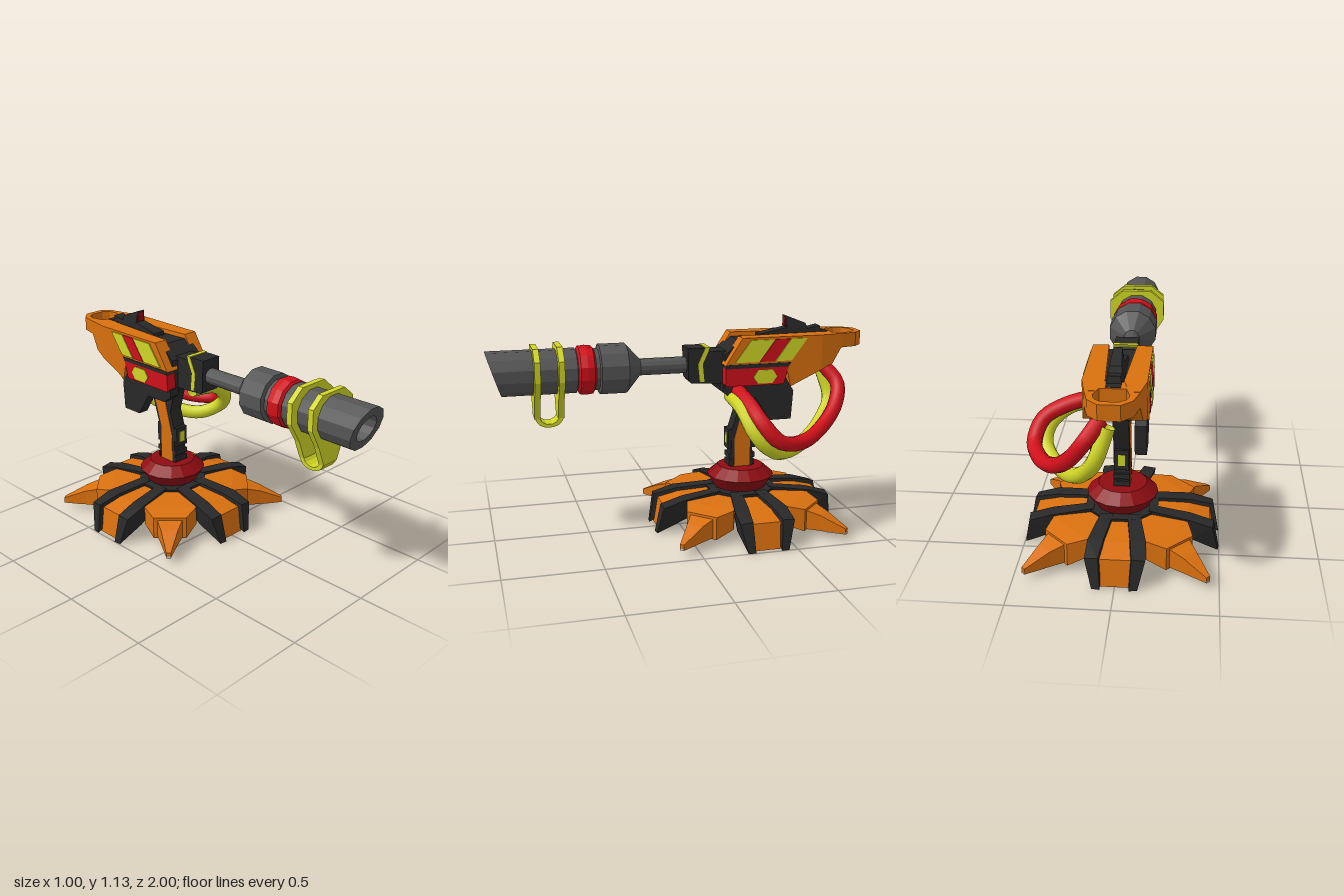
import * as THREE from 'three';

const mat = (color) => new THREE.MeshStandardMaterial({ color, flatShading: true, side: THREE.DoubleSide });
const orange = mat(0xd9700f), black = mat(0x282828), red = mat(0xd0101a), darkRed = mat(0x8e0c12);
const yellow = mat(0xd0d626), steel = mat(0x555555), pale = mat(0xcccccc);
const CZ = -0.345; // z of the base centre

export function createModel() {
  const model = new THREE.Group();
  const add = (name, geo, material, parent = model) => {
    const m = new THREE.Mesh(geo, material);
    m.name = name;
    parent.add(m);
    return m;
  };
  const shapeOf = (pts) => new THREE.Shape(pts.map(([a, b]) => new THREE.Vector2(a, b)));
  // Move the vertices of a mesh by a rule
  const bend = (mesh, rule) => {
    const p = mesh.geometry.attributes.position;
    for (let i = 0; i < p.count; i++) p.setXYZ(i, ...rule(p.getX(i), p.getY(i), p.getZ(i)));
    mesh.geometry.computeVertexNormals();
  };

  // Side outline [z, y] extruded from x0 to x1
  const slab = (name, pts, x0, x1, material) => {
    const g = new THREE.ExtrudeGeometry(shapeOf(pts), { depth: x1 - x0, bevelEnabled: false });
    g.rotateY(-Math.PI / 2).translate(x1, 0, 0);
    return add(name, g, material);
  };
  const pair = (name, pts, x0, x1, material) => [
    slab(name + 'Left', pts, x0, x1, material),
    slab(name + 'Right', pts, -x1, -x0, material),
  ];
  const box = (name, w, h, d, x, y, z, material) =>
    add(name, new THREE.BoxGeometry(w, h, d).translate(x, y, z), material);

  // Solid through four-cornered sections, each corner [x, y, z]
  const loft = (sections) => {
    const tris = [];
    const quad = (a, b, c, d) => tris.push([a, b, c], [a, c, d]);
    for (let i = 0; i + 1 < sections.length; i++)
      for (let k = 0; k < 4; k++) {
        const n = (k + 1) % 4;
        quad(sections[i][k], sections[i][n], sections[i + 1][n], sections[i + 1][k]);
      }
    const [first, last] = [sections[0], sections[sections.length - 1]];
    quad(first[3], first[2], first[1], first[0]);
    quad(...last);
    const v = (p) => new THREE.Vector3(...p);
    const volume = tris.reduce((s, [a, b, c]) => s + v(a).dot(v(b).cross(v(c))), 0);
    const pos = tris.flatMap((t) => (volume < 0 ? [t[0], t[2], t[1]] : t)).flat();
    const g = new THREE.BufferGeometry();
    g.setAttribute('position', new THREE.Float32BufferAttribute(pos, 3));
    g.computeVertexNormals();
    return g;
  };
  // Section symmetric in x: radius, half width, low and high y
  const sym = (r, h, lo, hi, rLow = r) => [[-h, lo, rLow], [h, lo, rLow], [h, hi, r], [-h, hi, r]];

  // Base, hollow below: four feet with dark rails and four spiked corners
  for (let k = 0; k < 4; k++) {
    const foot = new THREE.Group();
    foot.name = 'foot' + k;
    foot.position.z = CZ;
    foot.rotation.y = (k * Math.PI) / 2;
    model.add(foot);
    add('footPanel', loft([sym(0.16, 0.06, 0.145, 0.188), sym(0.34, 0.075, 0.085, 0.17),
      sym(0.45, 0.08, 0.002, 0.14, 0.475)]), orange, foot);
    for (const s of [-1, 1]) {
      add('footRail', loft([
        [[s * 0.035, 0.14, 0.14], [s * 0.09, 0.14, 0.14], [s * 0.1, 0.207, 0.14], [s * 0.035, 0.207, 0.14]],
        [[s * 0.062, 0.07, 0.35], [s * 0.125, 0.07, 0.35], [s * 0.142, 0.185, 0.35], [s * 0.064, 0.187, 0.35]],
        [[s * 0.07, 0, 0.5], [s * 0.11, 0, 0.495], [s * 0.146, 0.15, 0.465], [s * 0.08, 0.157, 0.47]],
      ]), black, foot);
    }
    const corner = new THREE.Group();
    corner.name = 'spikedCorner' + k;
    corner.position.z = CZ;
    corner.rotation.y = ((k + 0.5) * Math.PI) / 2;
    model.add(corner);
    add('cornerPanel', loft([sym(0.16, 0.06, 0.14, 0.188), sym(0.34, 0.14, 0.075, 0.178),
      sym(0.43, 0.088, 0.038, 0.16)]), orange, corner);
    add('spike', loft([sym(0.42, 0.07, 0.045, 0.15), sym(0.5, 0.045, 0.04, 0.125),
      sym(0.63, 0.012, 0.037, 0.065)]), orange, corner);
    add('spikeClaw', loft([sym(0.53, 0.034, 0.035, 0.045), sym(0.632, 0.011, 0.034, 0.045)]), pale, corner);
  }
  add('baseHub', new THREE.CylinderGeometry(0.2, 0.18, 0.06, 8).rotateY(Math.PI / 8).translate(0, 0.173, CZ), black);
  add('baseUnderside', new THREE.CylinderGeometry(0.14, 0.14, 0.02, 16).translate(0, 0.14, CZ), black);
  const collar = [[0.14, 0.205], [0.182, 0.27], [0.125, 0.32], [0, 0.32]];
  add('collar', new THREE.LatheGeometry(collar.map(([r, y]) => new THREE.Vector2(r, y)), 16).translate(0, 0, CZ), darkRed);

  // Neck with orange sides, ribs and lamps
  slab('neck', [[-0.28, 0.32], [-0.28, 0.52], [-0.31, 0.62], [-0.27, 0.76], [-0.47, 0.76], [-0.44, 0.65], [-0.4, 0.52], [-0.4, 0.32]], -0.04, 0.04, black);
  pair('neckPanel', [[-0.298, 0.32], [-0.298, 0.48], [-0.36, 0.72], [-0.45, 0.74], [-0.385, 0.52], [-0.385, 0.32]], 0.036, 0.042, orange);
  for (const [z, s] of [[-0.275, 1], [-0.405, -1]]) {
    for (const y of [0.34, 0.38]) box('neckRib', 0.083, 0.028, 0.015, 0, y, z, black);
    box('lampFrame', 0.076, 0.11, 0.024, 0, 0.475, z, black);
    box('lamp', 0.034, 0.06, 0.012, 0, 0.475, z + s * 0.009, yellow);
  }

  // Head: core, cheek plates, orange shell and trim
  slab('headCore', [[-0.22, 0.77], [-0.22, 0.95], [-0.3, 1.02], [-0.78, 1.02], [-0.76, 0.9], [-0.55, 0.76]], -0.1, 0.1, black);
  pair('cheekPlate', [[-0.2, 0.8], [-0.2, 0.76], [-0.25, 0.72], [-0.38, 0.72], [-0.46, 0.595], [-0.58, 0.595], [-0.59, 0.75], [-0.55, 0.81]], 0.078, 0.135, black);
  const shell = [[-0.21, 0.9], [-0.3, 1.042], [-0.74, 1.042], [-0.86, 1.042], [-0.86, 0.965], [-0.81, 0.885], [-0.74, 0.855], [-0.57, 0.775], [-0.54, 0.9]];
  // Shell halves leave a channel that widens to the front and narrow toward the handle
  for (const half of pair('shell', shell, 0.045, 0.146, orange))
    bend(half, (x, y, z) => {
      const inner = Math.abs(x) < 0.1;
      const w = inner ? (z > -0.35 ? 0.068 : z < -0.84 ? 0.075 : 0.042) : 0.146 - Math.max(0, -z - 0.74) * 0.2;
      return [Math.sign(x) * w, y, z];
    });
  slab('shellBack', [[-0.76, 1.03], [-0.83, 1.03], [-0.83, 0.965], [-0.8, 0.885], [-0.6, 0.79], [-0.6, 0.85]], -0.05, 0.05, orange);
  pair('sidePanel', [[-0.21, 0.79], [-0.21, 0.885], [-0.555, 0.885], [-0.53, 0.79]], 0.09, 0.148, red);
  pair('sideBadge', [[-0.36, 0.835], [-0.385, 0.872], [-0.465, 0.872], [-0.49, 0.835], [-0.465, 0.8], [-0.385, 0.8]], 0.14, 0.153, yellow);
  pair('sideSeam', [[-0.21, 0.884], [-0.22, 0.905], [-0.57, 0.905], [-0.555, 0.884]], 0.09, 0.149, black);
  [[-0.26, 0.13, yellow], [-0.395, 0.08, red], [-0.48, 0.09, yellow]].forEach(([z, w, m], i) =>
    pair('stripe' + i, [[z, 0.915], [z - 0.085, 1.03], [z - 0.085 - w, 1.03], [z - w, 0.915]], 0.14, 0.152, m));

  // Rear handle loop
  const handle = shapeOf([[-0.144, -0.75], [-0.122, -0.86], [-0.1, -0.95], [-0.05, -1], [0.05, -1], [0.1, -0.95], [0.122, -0.86], [0.144, -0.75]]);
  handle.holes.push(shapeOf([[-0.06, -0.83], [-0.08, -0.9], [-0.07, -0.94], [-0.038, -0.967], [0.038, -0.967], [0.07, -0.94], [0.08, -0.9], [0.06, -0.83]]));
  add('handle', new THREE.ExtrudeGeometry(handle, { depth: 0.075, bevelEnabled: false }).rotateX(Math.PI / 2).translate(0, 1.041, 0), orange);
  box('channelFloor', 0.07, 0.006, 0.09, 0, 1.04, -0.775, black);

  // Top fin, narrowing upward
  const fin = slab('fin', [[-0.43, 1.01], [-0.43, 1.04], [-0.585, 1.07], [-0.575, 1.135], [-0.69, 1.09], [-0.7, 1.06], [-0.77, 1.075], [-0.785, 1.01]], -0.038, 0.038, black);
  bend(fin, (x, y, z) => [x * (1 - Math.max(0, y - 1.03) * 4.5), y, z]);
  box('finSight', 0.036, 0.05, 0.008, 0, 1.1, -0.579, darkRed);

  // Front mount and its chevron band
  slab('barrelMount', [[-0.035, 0.82], [-0.03, 0.985], [-0.13, 0.985], [-0.15, 0.965], [-0.25, 0.965], [-0.25, 0.79], [-0.05, 0.8]], -0.06, 0.06, black);
  slab('mountBand', [[-0.095, 0.805], [-0.085, 0.9], [-0.125, 0.988], [-0.15, 0.988], [-0.11, 0.9], [-0.12, 0.805]], -0.063, 0.063, yellow);

  // Barrel: profiles [radius, z] turned about the barrel axis
  const turned = (name, profile, material) => {
    const g = new THREE.LatheGeometry(profile.map(([r, z]) => new THREE.Vector2(r, z)), 12, Math.PI / 12);
    return add(name, g.rotateX(Math.PI / 2).translate(0, 0.89, 0), material);
  };
  turned('rod', [[0.044, -0.03], [0.044, 0.22]], steel);
  turned('barrelCone', [[0.044, 0.215], [0.13, 0.29], [0.13, 0.43], [0.108, 0.435], [0.108, 0.55]], steel);
  turned('barrelRing', [[0.108, 0.455], [0.124, 0.465], [0.128, 0.5], [0.124, 0.535], [0.108, 0.545]], red);
  const muzzle = turned('muzzle', [[0.108, 0.548], [0.116, 0.55], [0.116, 1], [0.068, 1], [0.066, 0.84], [0, 0.84]], steel);
  bend(muzzle, (x, y, z) => [x, y, z > 0.9 ? 1 - (1.003 - y) * 0.32 : z]);

  // Yellow clamp rings with a hanging U strap
  const clamp = (grow) => {
    const half = [[0.08, 1.02 + grow], [0.148 + grow, 0.965], [0.148 + grow, 0.86], [0.09, 0.755], [0.05, 0.655]];
    const ring = shapeOf([...half, ...half.map(([x, y]) => [-x, y]).reverse()]);
    ring.holes.push(new THREE.Path().absarc(0, 0.89, 0.112, 0, Math.PI * 2, true));
    return new THREE.ExtrudeGeometry(ring, { depth: 0.03, bevelEnabled: false, curveSegments: 6 });
  };
  add('clampRingRear', clamp(0.007).translate(0, 0, 0.62), yellow);
  add('clampRingFront', clamp(0).translate(0, 0, 0.74), yellow);
  slab('clampStrap', [[0.62, 0.69], [0.626, 0.645], [0.645, 0.622], [0.675, 0.61], [0.715, 0.61], [0.745, 0.622], [0.763, 0.645], [0.77, 0.69],
    [0.748, 0.69], [0.742, 0.655], [0.73, 0.638], [0.71, 0.627], [0.68, 0.627], [0.66, 0.638], [0.648, 0.655], [0.642, 0.69]], -0.05, 0.05, yellow);

  // Looping cables on the left side
  const cable = (name, pts, color) => {
    const curve = new THREE.CatmullRomCurve3(pts.map((p) => new THREE.Vector3(...p)));
    add(name, new THREE.TubeGeometry(curve, 36, 0.039, 10), new THREE.MeshStandardMaterial({ color, side: THREE.DoubleSide }));
  };
  cable('redCable', [[0.09, 0.77, -0.28], [0.28, 0.72, -0.3], [0.4, 0.65, -0.33], [0.435, 0.56, -0.41], [0.38, 0.535, -0.55],
    [0.29, 0.58, -0.69], [0.2, 0.68, -0.805], [0.13, 0.78, -0.84], [0.06, 0.87, -0.78]], 0xd0101a);
  cable('yellowCable', [[0.08, 0.73, -0.26], [0.26, 0.7, -0.265], [0.37, 0.61, -0.29], [0.39, 0.53, -0.35], [0.325, 0.47, -0.46],
    [0.23, 0.495, -0.62], [0.14, 0.58, -0.75], [0.08, 0.69, -0.82], [0.03, 0.84, -0.79]], 0xd0d626);

  return model;
}
